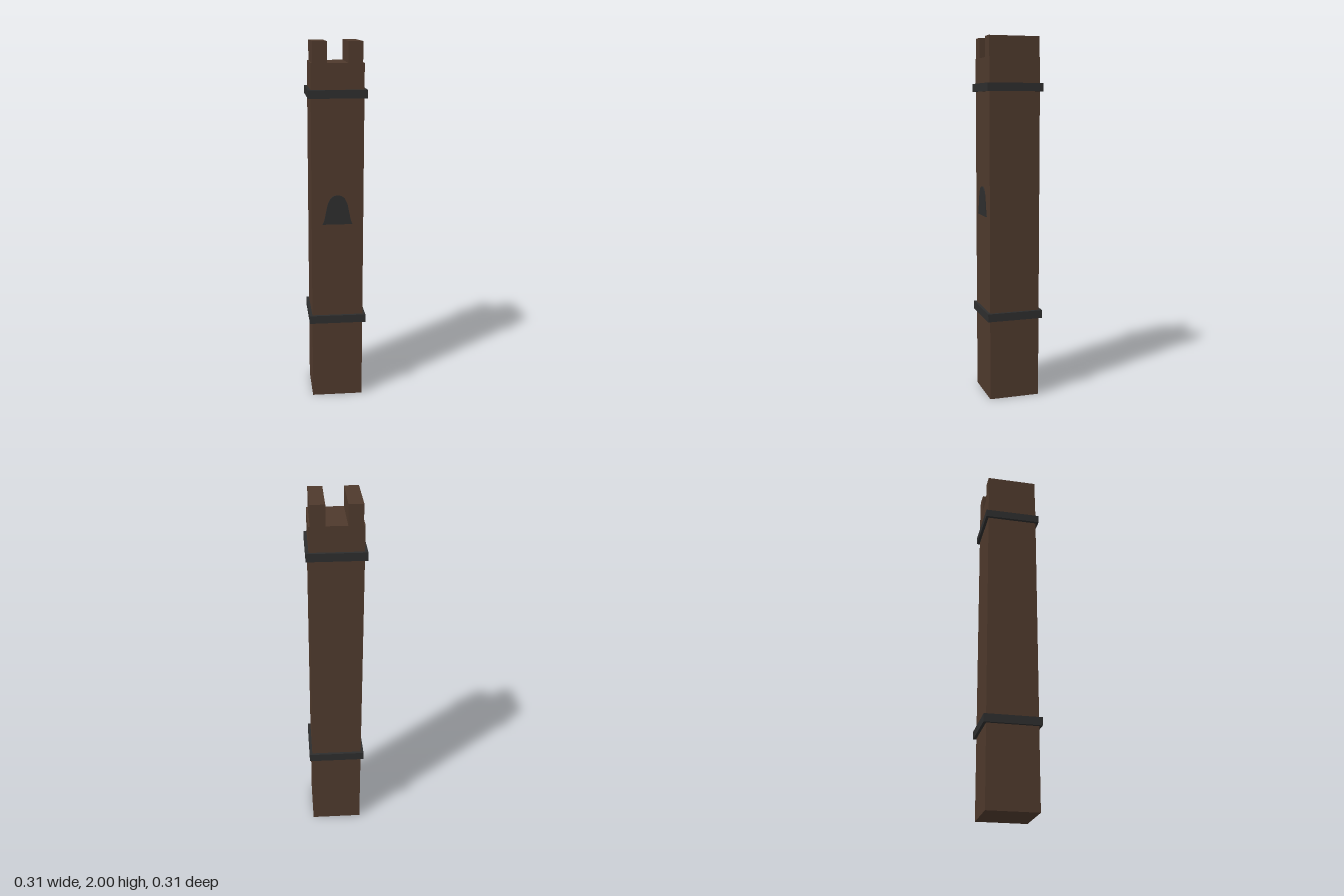
import * as THREE from 'three';

export function createModel() {
  const model = new THREE.Group();
  model.name = 'woodenPost';

  const wood = new THREE.MeshStandardMaterial({ color: 0x4e392c });
  wood.name = 'dark wood';
  const iron = new THREE.MeshStandardMaterial({ color: 0x2d2d2d });
  iron.name = 'dark iron';

  const half = 0.1415;      // half width of the post
  const shoulder = 1.89;    // height where the fork begins

  function addBox(name, material, w, d, y0, y1, x = 0) {
    const mesh = new THREE.Mesh(new THREE.BoxGeometry(w, y1 - y0, d), material);
    mesh.position.set(x, (y0 + y1) / 2, 0);
    mesh.name = name;
    model.add(mesh);
  }

  // square post
  addBox('post', wood, half * 2, half * 2, 0, shoulder);

  // two prongs with an open slot running front to back
  addBox('leftProng', wood, 0.077, half * 2, shoulder, 2, 0.0945);
  addBox('rightProng', wood, 0.077, half * 2, shoulder, 2, -0.0945);

  // iron bands around the post
  addBox('lowerBand', iron, 0.314, 0.314, 0.451, 0.496);
  addBox('upperBand', iron, 0.314, 0.314, 1.709, 1.753);

  // bell-shaped plate on the front
  const outline = new THREE.Shape();
  outline.moveTo(-0.082, 0);
  outline.lineTo(0.082, 0);
  outline.quadraticCurveTo(0.071, 0.022, 0.066, 0.055);
  outline.lineTo(0.054, 0.112);
  outline.bezierCurveTo(0.042, 0.145, 0.028, 0.162, 0, 0.162);
  outline.bezierCurveTo(-0.028, 0.162, -0.042, 0.145, -0.054, 0.112);
  outline.lineTo(-0.066, 0.055);
  outline.quadraticCurveTo(-0.071, 0.022, -0.082, 0);
  const plate = new THREE.Mesh(
    new THREE.ExtrudeGeometry(outline, { depth: 0.006, bevelEnabled: false, curveSegments: 8 }),
    iron
  );
  plate.position.set(0, 1.026, half);
  plate.name = 'frontPlate';
  model.add(plate);

  return model;
}
